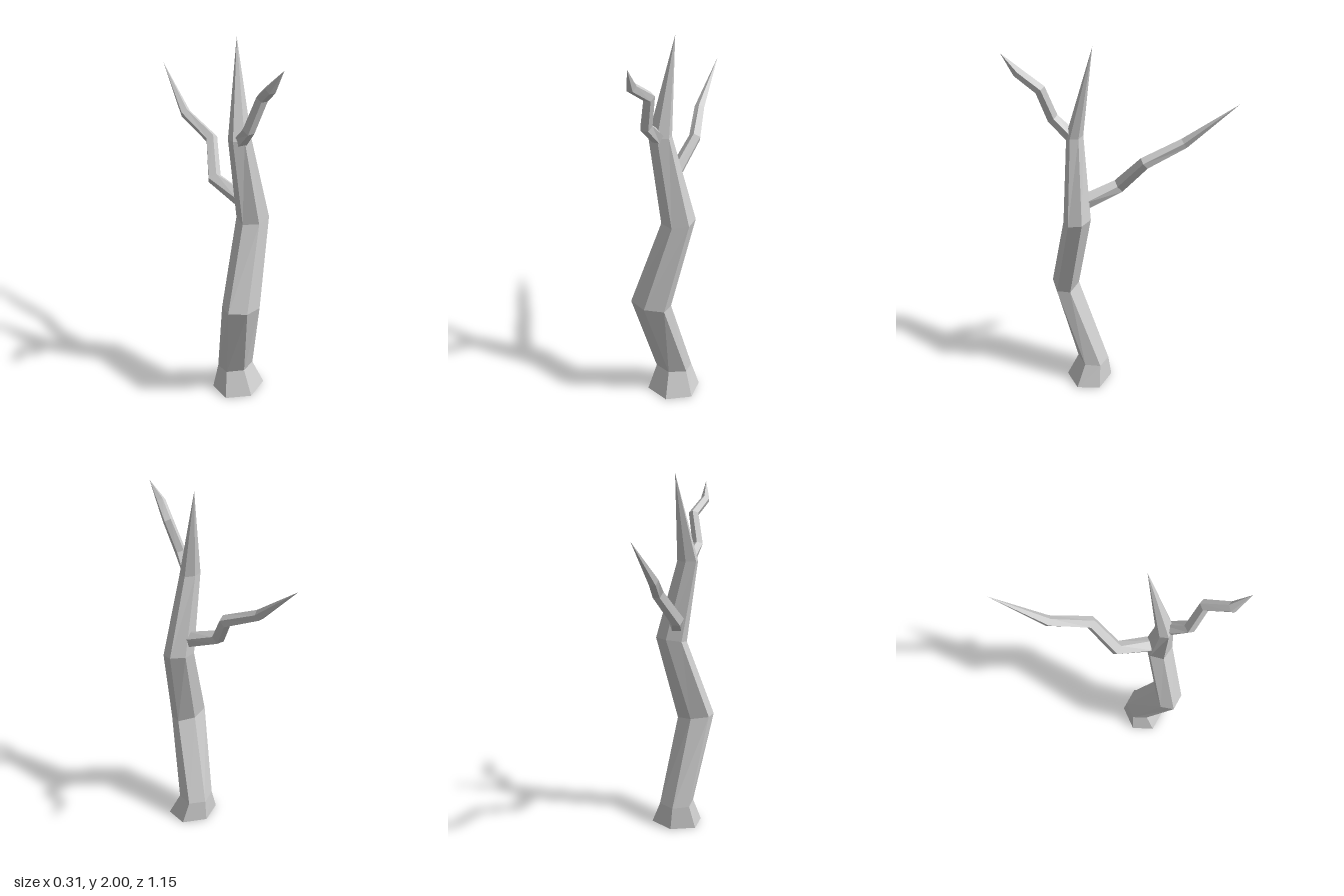
import * as THREE from 'three';

const material = new THREE.MeshStandardMaterial({ color: 0xcccccc, flatShading: true });

// Skin rings of points (each counter-clockwise seen from the next), ending in a tip
function loft(name, rings, tip) {
  const pos = [];
  const tri = (...pts) => pts.forEach((p) => pos.push(p.x, p.y, p.z));
  const n = rings[0].length;
  for (let i = 0; i < n; i++) {
    const j = (i + 1) % n;
    for (let k = 0; k + 1 < rings.length; k++) {
      const a = rings[k], b = rings[k + 1];
      tri(a[i], a[j], b[j]);
      tri(a[i], b[j], b[i]);
    }
    const last = rings[rings.length - 1];
    tri(last[i], last[j], tip);
    if (i > 0 && j > 0) tri(rings[0][0], rings[0][j], rings[0][i]); // base cap
  }
  const geometry = new THREE.BufferGeometry();
  geometry.setAttribute('position', new THREE.Float32BufferAttribute(pos, 3));
  geometry.computeVertexNormals();
  const mesh = new THREE.Mesh(geometry, material);
  mesh.name = name;
  return mesh;
}

// Six-sided ring across the trunk, tilted by slopes along x and z
function trunkRing([x, y, z, halfX, halfZ, slopeX, slopeZ, twist]) {
  return Array.from({ length: 6 }, (_, i) => {
    const a = (i / 6) * Math.PI * 2 + twist;
    const dx = (Math.sin(a) * halfX) / Math.cos(Math.PI / 6);
    const dz = Math.cos(a) * halfZ;
    return new THREE.Vector3(x + dx, y + dx * slopeX + dz * slopeZ, z + dz);
  });
}

// Five-sided branch whose rings face along the averaged direction of the path
function branch(name, stations, tipAt) {
  const tip = new THREE.Vector3(...tipAt);
  const path = stations.map(([x, y, z]) => new THREE.Vector3(x, y, z)).concat(tip);
  const dir = (k) => path[k + 1].clone().sub(path[k]).normalize();
  const rings = stations.map(([, , , r], k) => {
    const t = k ? dir(k).add(dir(k - 1)).normalize() : dir(0);
    const u = new THREE.Vector3(0, 1, 0).addScaledVector(t, -t.y).normalize();
    const v = t.clone().cross(u);
    return Array.from({ length: 5 }, (_, i) => {
      const a = (i / 5) * Math.PI * 2;
      return path[k].clone().addScaledVector(u, r * Math.cos(a)).addScaledVector(v, r * Math.sin(a));
    });
  });
  return loft(name, rings, tip);
}

export function createModel() {
  const tree = new THREE.Group();
  tree.name = 'bareTree';

  // Crooked trunk: x, y, z, half width, half depth, tilt x, tilt z, twist
  const trunk = [
    [0.018, 0.005, 0.19, 0.13, 0.13, 0.03, 0, 0],
    [0.012, 0.135, 0.165, 0.088, 0.088, 0, 0.1, 0],
    [-0.06, 0.625, 0.315, 0.095, 0.075, -0.12, 0, -0.1],
    [0.063, 1.09, 0.23, 0.077, 0.073, 0.1, -0.15, -0.12],
    [-0.028, 1.535, 0.234, 0.053, 0.043, 0, 0, 0],
  ];
  tree.add(loft('trunk', trunk.map(trunkRing), new THREE.Vector3(0.015, 2, 0.135)));

  // Short upper branch reaching forward
  tree.add(branch('frontBranch', [
    [-0.03, 1.525, 0.245, 0.036],
    [-0.055, 1.615, 0.345, 0.031],
    [-0.018, 1.778, 0.395, 0.029],
    [-0.055, 1.852, 0.505, 0.026],
  ], [-0.04, 1.95, 0.577]));

  // Long lower branch reaching back
  tree.add(branch('backBranch', [
    [0.02, 1.185, 0.185, 0.043],
    [-0.033, 1.248, 0.012, 0.038],
    [0.033, 1.41, -0.118, 0.033],
    [-0.008, 1.502, -0.315, 0.028],
  ], [0.01, 1.715, -0.575]));

  return tree;
}
